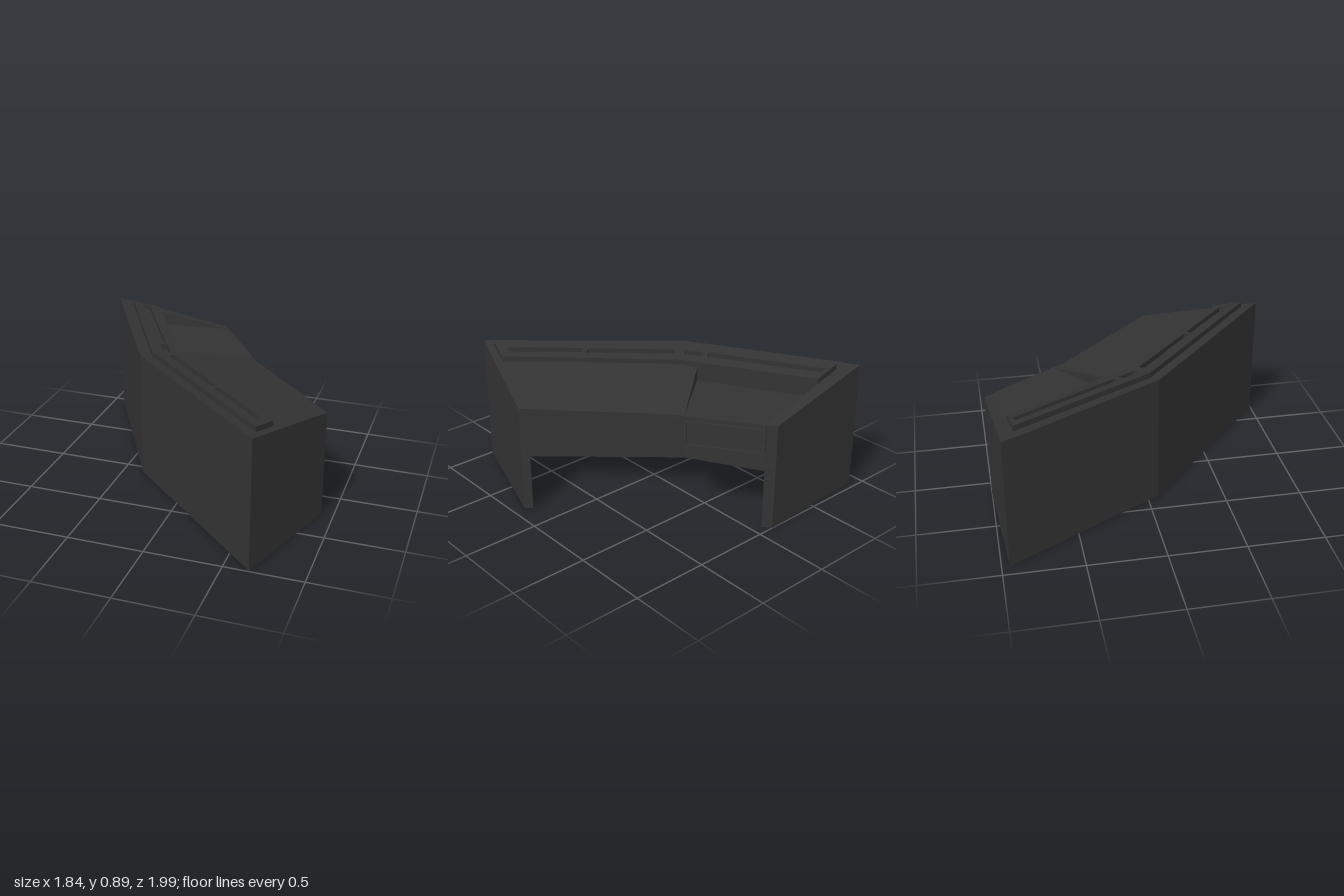
import * as THREE from 'three';

const material = new THREE.MeshStandardMaterial({ color: 0x333333 });
material.name = 'charcoal';

// Plan points [x, z]
const A = [-0.92, -0.95], B = [-0.11, -1], C = [0.26, -0.46], D = [0.92, 0.22], E = [0.66, 0.99], F = [-0.36, 0.07];
const P = [-0.2, -0.2], Q = [0.22, -0.53], G = [-0.585, -0.89], R = [-0.065, -0.945];
// Point on the mitre line at distance d from both outer walls
const mitre = (d) => [F[0] + 0.836 * d, F[1] - 0.582 * d];

// Height of the sloping top: falls away from the two tall outer walls
function topHeight(x, z) {
  const dx = x - F[0], dz = z - F[1];
  const d = Math.min(0.876 * dx - 0.481 * dz, 0.67 * dx - 0.742 * dz);
  return Math.min(0.865, Math.max(0.715, 0.865 - 0.203 * d));
}
const above = (h) => (x, z) => topHeight(x, z) + h;
const level = (h) => () => h;

// Upright prism over a plan outline, with top and bottom heights given by rules
function prism(name, outline, bottom, top, holes = []) {
  const toV = (pts) => pts.map(([x, z]) => new THREE.Vector2(x, -z));
  const shape = new THREE.Shape(toV(outline));
  holes.forEach((h) => shape.holes.push(new THREE.Path(toV(h))));
  const geo = new THREE.ExtrudeGeometry(shape, { depth: 1, bevelEnabled: false });
  geo.rotateX(-Math.PI / 2);
  const p = geo.attributes.position;
  for (let i = 0; i < p.count; i++) {
    const x = p.getX(i), z = p.getZ(i);
    p.setY(i, p.getY(i) > 0.5 ? top(x, z) : bottom(x, z));
  }
  geo.computeVertexNormals();
  const mesh = new THREE.Mesh(geo, material);
  mesh.name = name;
  return mesh;
}

function box(name, w, h, d, x, y, z) {
  const mesh = new THREE.Mesh(new THREE.BoxGeometry(w, h, d), material);
  mesh.position.set(x, y, z);
  mesh.name = name;
  return mesh;
}

export function createModel() {
  const model = new THREE.Group();
  model.name = 'cornerConsole';

  // Outer walls and both end panels, open towards the operator
  model.add(prism('outerWalls',
    [A, F, E, D, [0.88, 0.18], [0.637, 0.902], mitre(0.05), [-0.82, -0.866], [-0.07, -0.945], B],
    level(0), above(0)));

  // Sloping tops
  model.add(prism('mainSlopedTop', [F, E, D, C, Q, P, mitre(0.275)], above(-0.03), above(0)));
  model.add(prism('sideSlopedTop', [[-0.88, -0.861], F, mitre(0.275), P, G], above(-0.03), above(0)));

  // Level worktop sunk into the side section, over the drawer cabinet
  model.add(prism('levelWorktop', [G, P, Q, R], level(0.685), level(0.716)));
  model.add(prism('drawerCabinet', [G, P, Q, R], level(0.515), level(0.69)));
  model.add(prism('recessBackRiser', [G, P, [-0.215, -0.19], [-0.6, -0.88]], level(0.515), above(-0.001)));
  model.add(prism('recessSideRiser', [P, Q, [0.225, -0.515], [-0.19, -0.185]], level(0.515), above(-0.001)));

  // Drawer front: frame, recessed panel and grip
  const drawer = new THREE.Group();
  drawer.name = 'drawerFront';
  const dx = Q[0] - R[0], dz = Q[1] - R[1], len = Math.hypot(dx, dz) + 0.005;
  drawer.position.set((Q[0] + R[0]) / 2, 0.602, (Q[1] + R[1]) / 2);
  drawer.rotation.y = Math.atan2(dz, -dx);
  for (const s of [-1, 1]) {
    drawer.add(box('frameRail', len, 0.014, 0.022, 0, s * 0.08, 0.003));
    drawer.add(box('frameStile', 0.022, 0.174, 0.022, s * (len / 2 - 0.011), 0, 0.003));
  }
  drawer.add(box('drawerPanel', len - 0.055, 0.138, 0.012, 0, 0, 0.002));
  drawer.add(box('drawerGrip', len - 0.1, 0.022, 0.012, 0, 0, 0.008));
  model.add(drawer);

  // Raised instrument strip with slots, following the bend
  const strip = new THREE.Group();
  strip.name = 'instrumentStrip';
  strip.add(prism('sideStrip', [[-0.785, -0.87], mitre(0.077), mitre(0.272), G], above(-0.01), above(0.036), [
    [[-0.7, -0.85], [-0.65, -0.86], [-0.283, -0.205], [-0.325, -0.175]],
    [[-0.305, -0.15], [-0.262, -0.175], [-0.203, -0.068], [-0.242, -0.035]],
  ]));
  strip.add(prism('mainStrip', [mitre(0.077), [0.65, 0.88], [0.705, 0.7], mitre(0.272)], above(-0.01), above(0.036), [
    [[-0.19, 0.01], [-0.155, -0.02], [0.265, 0.37], [0.225, 0.4]],
    [[0.25, 0.425], [0.29, 0.395], [0.64, 0.715], [0.62, 0.77]],
  ]));
  model.add(strip);

  return model;
}
